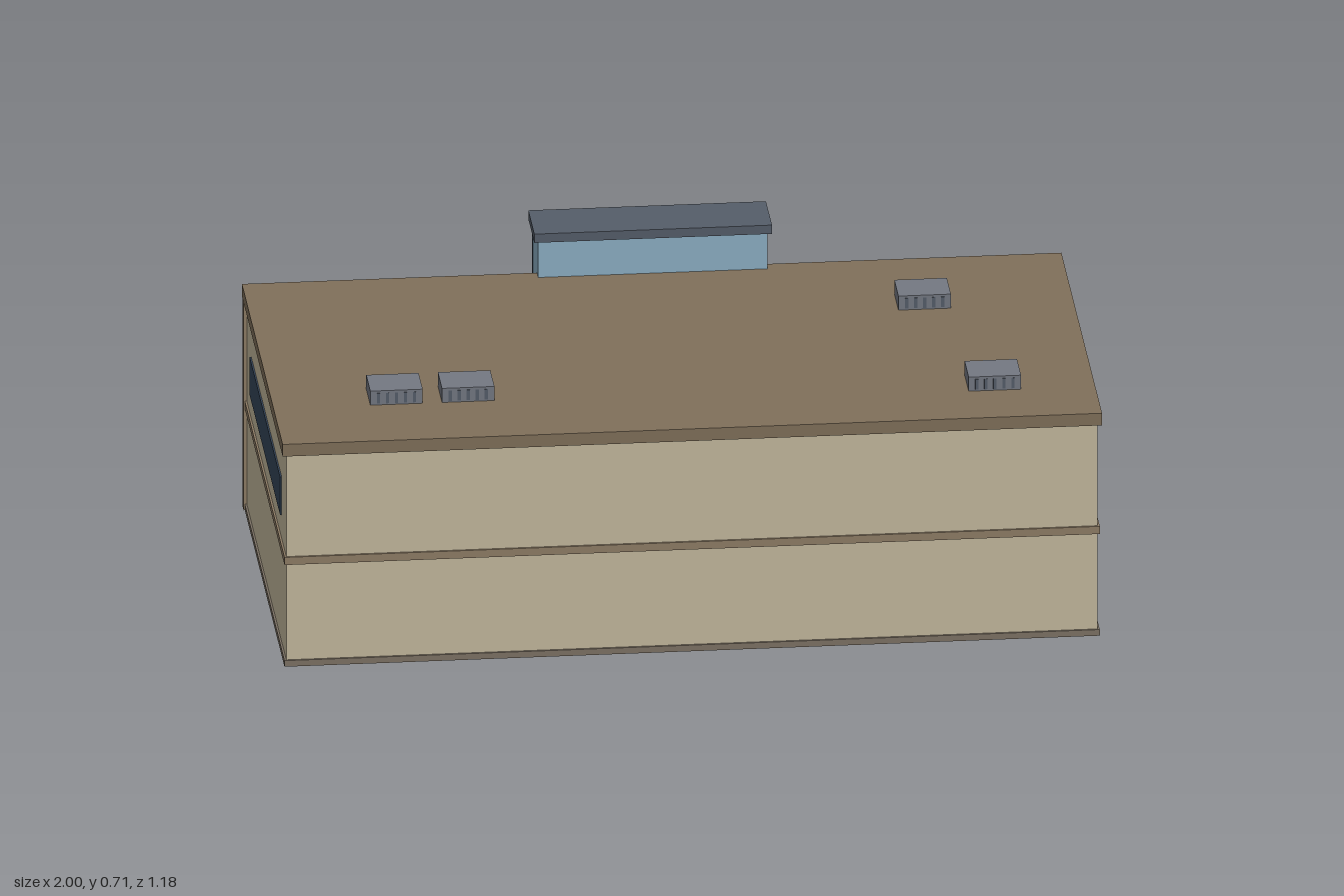
import * as THREE from 'three';

const paint = (color) => new THREE.MeshStandardMaterial({ color });
const M = {
  wall: paint(0xc4b99e), trim: paint(0x8f7d66), roof: paint(0x80705a), plinth: paint(0x7d7265),
  window: paint(0x35465a), glass: paint(0x8cafc4), frame: paint(0x2f3742),
  cap: paint(0x555d69), door: paint(0x282c34), unit: paint(0x747882), shop: paint(0xdbc797),
};

// Box given by its limits on each axis
function box(parent, name, mat, [x0, x1], [y0, y1], [z0, z1]) {
  const mesh = new THREE.Mesh(new THREE.BoxGeometry(x1 - x0, y1 - y0, z1 - z0), mat);
  mesh.position.set((x0 + x1) / 2, (y0 + y1) / 2, (z0 + z1) / 2);
  mesh.name = name;
  parent.add(mesh);
  return mesh;
}

function group(parent, name) {
  const g = new THREE.Group();
  g.name = name;
  parent.add(g);
  return g;
}

export function createModel() {
  const model = new THREE.Group();
  model.name = 'building';

  // Main block with plinth, floor band and roof slab
  const block = group(model, 'mainBlock');
  box(block, 'walls', M.wall, [-0.99, 0.99], [0.002, 0.56], [-0.41, 0.58]);
  box(block, 'plinth', M.plinth, [-0.995, 0.995], [0, 0.016], [-0.413, 0.585]);
  box(block, 'floorBand', M.trim, [-0.995, 0.995], [0.268, 0.288], [-0.415, 0.585]);
  box(block, 'roofSlab', M.roof, [-1, 1], [0.556, 0.588], [-0.42, 0.59]);

  for (const s of [-1, 1]) {
    // Side window strip
    const sx = s * 0.99;
    box(block, 'sideWindow', M.window, [sx - 0.004, sx + 0.004], [0.35, 0.45], [-0.29, 0.465]);
    // Rear upper window strip
    const wx = s * 0.61;
    box(block, 'rearWindow', M.window, [wx - 0.315, wx + 0.315], [0.35, 0.45], [-0.414, -0.4]);
    // Rear pilasters
    for (const p of [0.41, 0.605, 0.8, 0.983]) {
      const x = s * p, w = p > 0.9 ? 0.015 : 0.012;
      box(block, 'pilaster', M.trim, [x - w, x + w], [0, 0.557], [-0.42, -0.4]);
    }
  }

  // Shop fronts, each with a sloping awning
  const shops = [[-0.81, 0xc9a227], [-0.62, 0x34527a], [-0.43, 0x7d2936],
    [0.425, 0x40623f], [0.61, 0x3f4552], [0.8, 0x985030]];
  for (const [x, color] of shops) {
    const shop = group(model, 'shopFront');
    box(shop, 'shopFrame', M.frame, [x - 0.08, x + 0.08], [0.014, 0.18], [-0.414, -0.405]);
    box(shop, 'shopPanel', M.shop, [x - 0.074, x + 0.074], [0.018, 0.175], [-0.416, -0.405]);
    const awning = box(shop, 'awning', paint(color),
      [x - 0.081, x + 0.081], [0.175, 0.182], [-0.46, -0.408]);
    awning.rotation.x = -0.35;
  }

  // Glazed entrance tower
  const tower = group(model, 'entranceTower');
  box(tower, 'towerGlass', M.glass, [-0.28, 0.28], [0, 0.685], [-0.522, -0.39]);
  box(tower, 'towerCap', M.cap, [-0.29, 0.29], [0.683, 0.706], [-0.532, -0.382]);
  for (let i = 0; i <= 8; i++) {
    const x = -0.277 + i * 0.06925, y = 0.005 + i * 0.0845;
    box(tower, 'mullion', M.frame, [x - 0.005, x + 0.005], [0, 0.684], [-0.528, -0.52]);
    box(tower, 'transom', M.frame, [-0.28, 0.28], [y - 0.005, y + 0.005], [-0.527, -0.52]);
  }

  // Entrance doors under a canopy on two posts
  const entrance = group(model, 'entrance');
  box(entrance, 'doorFrame', M.frame, [-0.155, 0.155], [0, 0.178], [-0.53, -0.52]);
  for (let i = 0; i < 6; i++) {
    const x = -0.15 + i * 0.05;
    box(entrance, 'doorLeaf', M.door, [x + 0.003, x + 0.047], [0.004, 0.172], [-0.533, -0.525]);
  }
  box(entrance, 'canopy', M.cap, [-0.186, 0.186], [0.183, 0.191], [-0.592, -0.522]);
  for (const x of [-0.175, 0.175]) {
    const post = new THREE.Mesh(new THREE.CylinderGeometry(0.004, 0.004, 0.185, 8), M.frame);
    post.position.set(x, 0.0925, -0.584);
    post.name = 'canopyPost';
    entrance.add(post);
  }

  // Rooftop air units with vent slats
  for (const [x, z] of [[-0.7, 0.315], [-0.525, 0.315], [0.635, -0.152], [0.755, 0.37]]) {
    const unit = group(model, 'roofUnit');
    box(unit, 'unitCase', M.unit, [x - 0.064, x + 0.064], [0.586, 0.625], [z - 0.051, z + 0.051]);
    for (let i = -2; i <= 2; i++) {
      const sx = x + i * 0.022;
      box(unit, 'ventSlat', M.cap, [sx - 0.004, sx + 0.004], [0.592, 0.619], [z - 0.0525, z + 0.0525]);
    }
  }
  return model;
}
